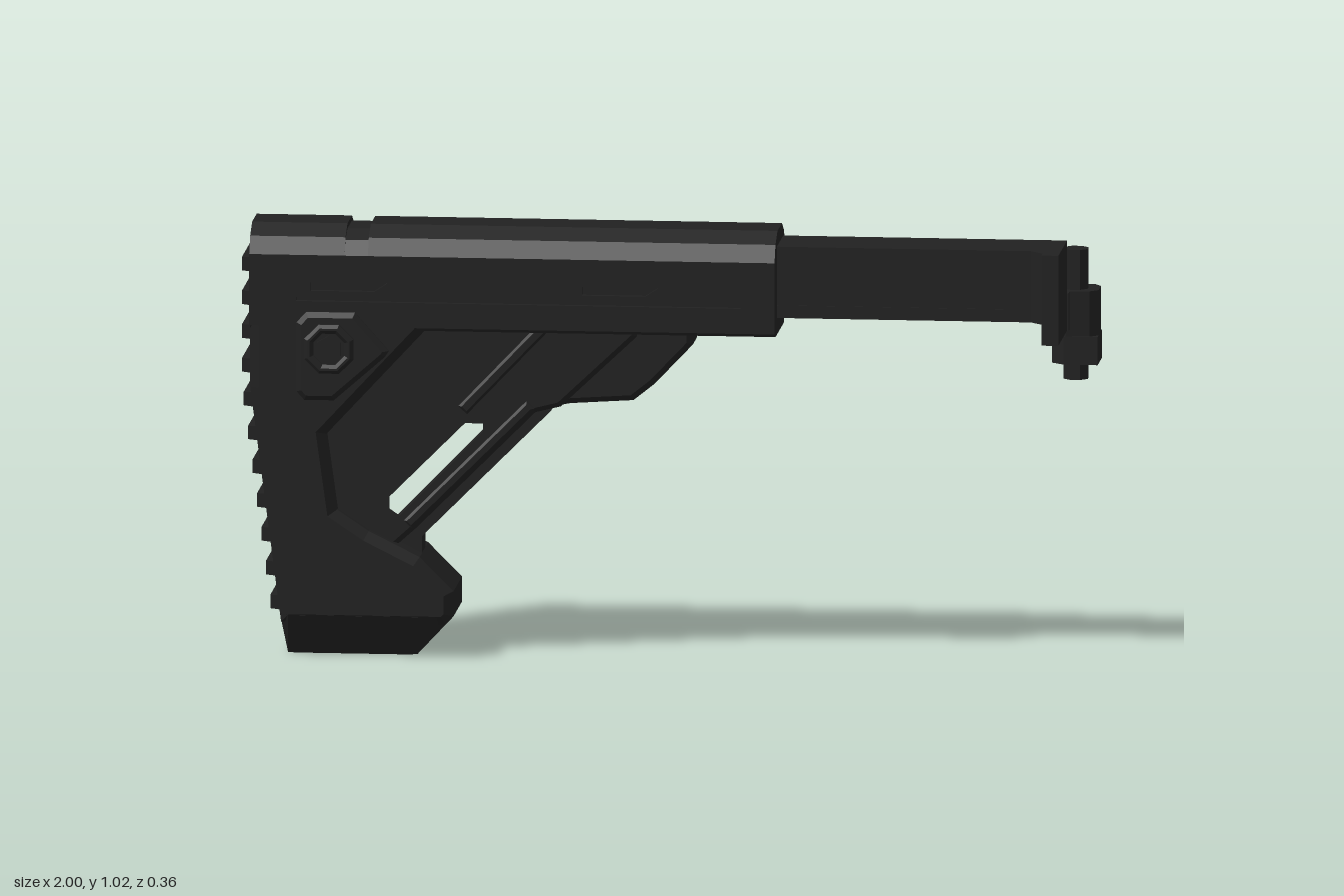
import * as THREE from 'three';
import { ConvexGeometry } from 'three/addons/geometries/ConvexGeometry.js';

const MID = 0.0275; // centre plane of the stock in z
const HW = 0.1225; // half width of the stock

export function createModel() {
  const model = new THREE.Group();
  model.name = 'shoulderStock';
  const black = new THREE.MeshStandardMaterial({ color: 0x212121, flatShading: true });
  black.name = 'matte black';

  const add = (name, geometry) => {
    const mesh = new THREE.Mesh(geometry, black);
    mesh.name = name;
    model.add(mesh);
    return mesh;
  };
  const shapeOf = (pts, holes = []) => {
    const v = (list) => list.map(([x, y]) => new THREE.Vector2(x, y));
    const shape = new THREE.Shape(v(pts));
    holes.forEach((h) => shape.holes.push(new THREE.Path(v(h))));
    return shape;
  };
  const ngon = (x, y, r, n) => Array.from({ length: n }, (_, i) => {
    const a = ((i + 0.5) / n) * Math.PI * 2;
    return [x + r * Math.cos(a), y + r * Math.sin(a)];
  });

  // side outline (x, y), thick in z between z0 and z1, with chamfered rims
  const slab = (name, pts, z0, z1, bevel = 0, holes = []) => {
    const g = new THREE.ExtrudeGeometry(shapeOf(pts, holes), {
      depth: z1 - z0 - 2 * bevel, bevelEnabled: bevel > 0, bevelSegments: 1,
      bevelSize: bevel, bevelThickness: bevel, bevelOffset: -bevel,
    });
    return add(name, g.translate(0, 0, z0 + bevel));
  };
  const centred = (name, pts, half, bevel, holes) =>
    slab(name, pts, MID - half, MID + half, bevel, holes);
  // same plate on both flanks, from half width a out to b
  const flanks = (name, pts, a, b, bevel, holes) => {
    slab(name + 'Left', pts, MID + a, MID + b, bevel, holes);
    slab(name + 'Right', pts, MID - b, MID - a, bevel, holes);
  };
  // plan outline (x, z), raised from y0 to y1
  const pillar = (name, pts, y0, y1) => {
    const g = new THREE.ExtrudeGeometry(shapeOf(pts.map(([x, z]) => [x, -z])),
      { depth: y1 - y0, bevelEnabled: false });
    return add(name, g.rotateX(-Math.PI / 2).translate(0, y0, 0));
  };
  const box = (name, x0, x1, y0, y1, z0, z1) => add(name,
    new THREE.BoxGeometry(x1 - x0, y1 - y0, z1 - z0)
      .translate((x0 + x1) / 2, (y0 + y1) / 2, (z0 + z1) / 2));

  // upper housing core, with a shallow groove across the top near the rear
  const core = HW - 0.012;
  [[-0.98, -0.755, 0], [-0.755, -0.7, 0.012], [-0.7, 0.26, 0]].forEach(([x0, x1, drop]) => {
    const half = [[0.1, 0.78], [core, 0.8], [core, 0.96], [HW, 0.96],
      [0.1, 1.0 - drop / 2], [0.0525, 1.025 - drop]];
    const ring = [...half, ...half.map(([z, y]) => [-z, y]).reverse()];
    const g = new THREE.ExtrudeGeometry(shapeOf(ring), { depth: x1 - x0, bevelEnabled: false });
    add('upperHousing', g.rotateY(Math.PI / 2).translate(x0, 0, MID));
  });

  // housing flanks with two slots and one long groove
  const slot = (x) => [[x, 0.875], [x + 0.15, 0.875], [x + 0.18, 0.895], [x + 0.18, 0.92],
    [x + 0.03, 0.92], [x, 0.895]];
  flanks('housingFlank', [[-0.98, 0.79], [0.26, 0.79], [0.26, 0.96], [-0.98, 0.96]],
    core - 0.002, HW, 0,
    [slot(-0.835), slot(-0.195), [[-0.87, 0.85], [0.18, 0.85], [0.18, 0.86], [-0.87, 0.86]]]);

  // rear body and toe
  centred('rearBody', [[-0.98, 0.83], [-0.53, 0.83], [-0.55, 0.8], [-0.8, 0.53], [-0.775, 0.35],
    [-0.7, 0.3], [-0.58, 0.24], [-0.5, 0.16], [-0.5, 0.1], [-0.518, 0.08], [-0.907, 0.08],
    [-0.98, 0.64]], HW - 0.0005, 0.022);
  const foot = [];
  [[0.1, -0.91, -0.5, HW - 0.001, 0.1], [0, -0.895, -0.59, 0.06, 0.055]].forEach(
    ([y, x0, x1, w, end]) => [-1, 1].forEach((s) => {
      foot.push(new THREE.Vector3(x0, y, MID + s * end), new THREE.Vector3(x0 + 0.022, y, MID + s * w),
        new THREE.Vector3(x1 - 0.04, y, MID + s * w), new THREE.Vector3(x1, y, MID + s * end));
    }));
  add('foot', new ConvexGeometry(foot));

  // butt pad ribs following the rear edge
  for (let i = 0; i < 11; i++) {
    const y = 0.93 - i * 0.0805;
    const edge = -0.98 + Math.max(0, 0.64 - y) * 0.13;
    const tip = edge - 0.02;
    slab('buttPadRib', [[tip, y - 0.014], [edge + 0.03, y - 0.02], [edge + 0.03, y + 0.016],
      [tip, y + 0.018]], MID - 0.095, MID + 0.095);
  }

  // recessed web with the open window
  centred('web', [[-0.9, 0.82], [-0.07, 0.82], [-0.07, 0.77], [-0.25, 0.6], [-0.31, 0.585],
    [-0.59, 0.305], [-0.64, 0.26], [-0.85, 0.26]], 0.08, 0.012,
  [[[-0.48, 0.57], [-0.42, 0.57], [-0.42, 0.52], [-0.615, 0.31], [-0.665, 0.345], [-0.665, 0.385]]]);
  // raised ridges on the web and rails along the strut
  const ridge = (name, x0, y0, x1, y1, w) => {
    const l = Math.hypot(x1 - x0, y1 - y0);
    const nx = (-(y1 - y0) / l) * w, ny = ((x1 - x0) / l) * w;
    flanks(name, [[x0 - nx, y0 - ny], [x1 - nx, y1 - ny], [x1 + nx, y1 + ny], [x0 + nx, y0 + ny]],
      0.075, 0.092, 0.006);
  };
  ridge('webRidge', -0.48, 0.59, -0.28, 0.8, 0.014);
  ridge('strutRail', -0.61, 0.315, -0.32, 0.605, 0.013);
  // narrow strut spine under the window
  centred('strutSpine', [[-0.35, 0.62], [-0.275, 0.585], [-0.58, 0.28], [-0.58, 0.225],
    [-0.66, 0.225], [-0.66, 0.3]], 0.0425, 0);
  // release lever below the housing
  centred('releaseLever', [[-0.32, 0.8], [0.06, 0.8], [0.06, 0.75], [-0.03, 0.655], [-0.08, 0.615],
    [-0.23, 0.605], [-0.3, 0.59]], 0.065, 0.014);

  // sling mounts on both flanks
  flanks('slingPlate', [[-0.845, 0.825], [-0.73, 0.825], [-0.65, 0.735], [-0.66, 0.72],
    [-0.78, 0.615], [-0.85, 0.615], [-0.868, 0.635], [-0.868, 0.8]].reverse(),
  HW - 0.03, HW + 0.015, 0.012);
  flanks('slingSocket', ngon(-0.79, 0.74, 0.063, 8), HW, HW + 0.03, 0.008,
    [ngon(-0.79, 0.74, 0.04, 8)]);
  flanks('slingButton', ngon(-0.79, 0.74, 0.032, 6), HW, HW + 0.022, 0);

  // extension arm: recessed middle with top and bottom rails
  box('armCore', 0.2, 0.9, 0.83, 0.98, -0.045, 0.085);
  box('armTopRail', 0.2, 0.9, 0.955, 0.99, -0.055, 0.095);
  box('armBottomRail', 0.2, 0.9, 0.82, 0.85, -0.055, 0.095);
  box('armFrontPanel', 0.2, 0.9, 0.845, 0.96, 0.08, 0.093);
  // flared end and end plate
  pillar('armFlare', [[0.8, -0.055], [0.93, -0.055], [0.93, 0.15], [0.915, 0.15], [0.86, 0.095],
    [0.8, 0.095]], 0.82, 0.99);
  box('endPlate', 0.89, 0.93, 0.775, 0.99, -0.055, 0.15);

  // hinge
  box('hingeBridge', 0.905, 0.934, 0.775, 0.865, -0.1, -0.05);
  pillar('hingeBlock', [[0.89, -0.15], [0.91, -0.18], [1, -0.18], [1, -0.075], [0.92, -0.075],
    [0.89, -0.1]], 0.69, 0.757);
  pillar('hingeKnuckle', [[0.91, -0.15], [0.925, -0.178], [0.985, -0.178], [1, -0.155], [1, -0.1],
    [0.98, -0.08], [0.925, -0.075], [0.91, -0.1]], 0.757, 0.865);
  add('hingePin', new THREE.CylinderGeometry(0.031, 0.031, 0.31, 8)
    .rotateY(Math.PI / 8).translate(0.944, 0.805, -0.126));

  return model;
}
